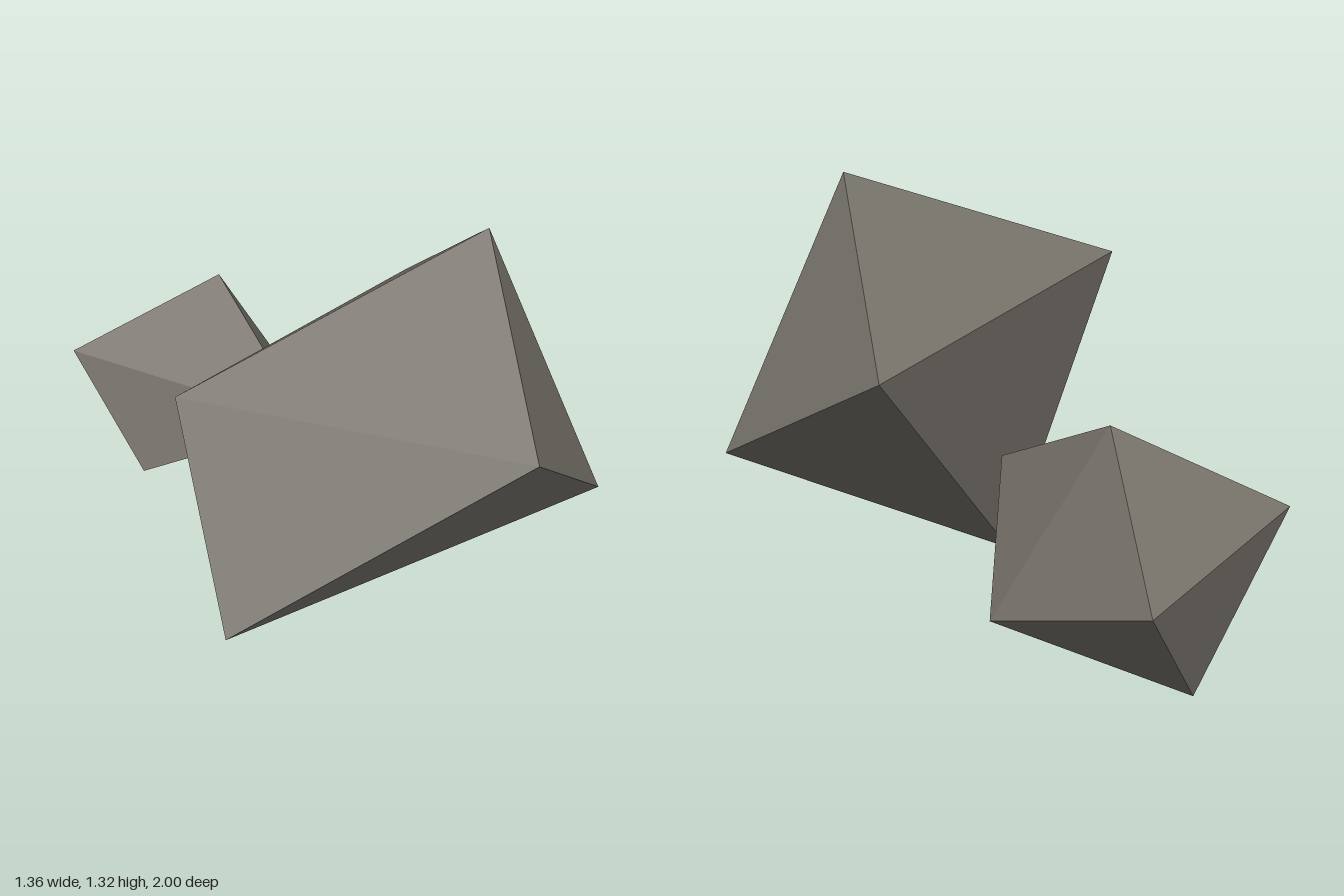
import * as THREE from 'three';

// Shared ten-face layout: 0 peak, 1 front, 2 left shoulder, 3 back right, 4 right, 5 left front, 6 base
const FACES = [
  [0, 2, 1], [2, 5, 1], [0, 1, 4], [0, 4, 3], [1, 5, 4],
  [5, 6, 4], [0, 3, 2], [3, 4, 6], [2, 3, 6], [2, 6, 5],
];

// Faceted boulder from its seven corners
function makeRock(name, corners, material) {
  const geometry = new THREE.BufferGeometry();
  const positions = FACES.flat().flatMap((i) => corners[i]);
  geometry.setAttribute('position', new THREE.Float32BufferAttribute(positions, 3));
  geometry.computeVertexNormals();
  const mesh = new THREE.Mesh(geometry, material);
  mesh.name = name;
  return mesh;
}

export function createModel() {
  const group = new THREE.Group();
  group.name = 'rocks';
  const stone = new THREE.MeshStandardMaterial({ color: 0x77736b, flatShading: true });
  stone.name = 'stone grey';

  // Large boulder at the front
  group.add(makeRock('largeRock', [
    [0.335, 1.32, 0.465], [0, 0.972, 0.995], [-0.55, 0.983, 0.17], [0.595, 0.83, -0.1],
    [0.68, 0.367, 0.745], [-0.683, 0.428, 0.545], [-0.052, 0.015, 0.13],
  ], stone));

  // Small boulder behind it
  group.add(makeRock('smallRock', [
    [0.163, 0.75, -0.588], [0.098, 0.455, -0.025], [-0.288, 0.473, -0.872], [0.393, 0.412, -1],
    [0.445, 0.155, -0.402], [-0.25, 0.113, -0.525], [0.092, 0, -0.88],
  ], stone));

  return group;
}
